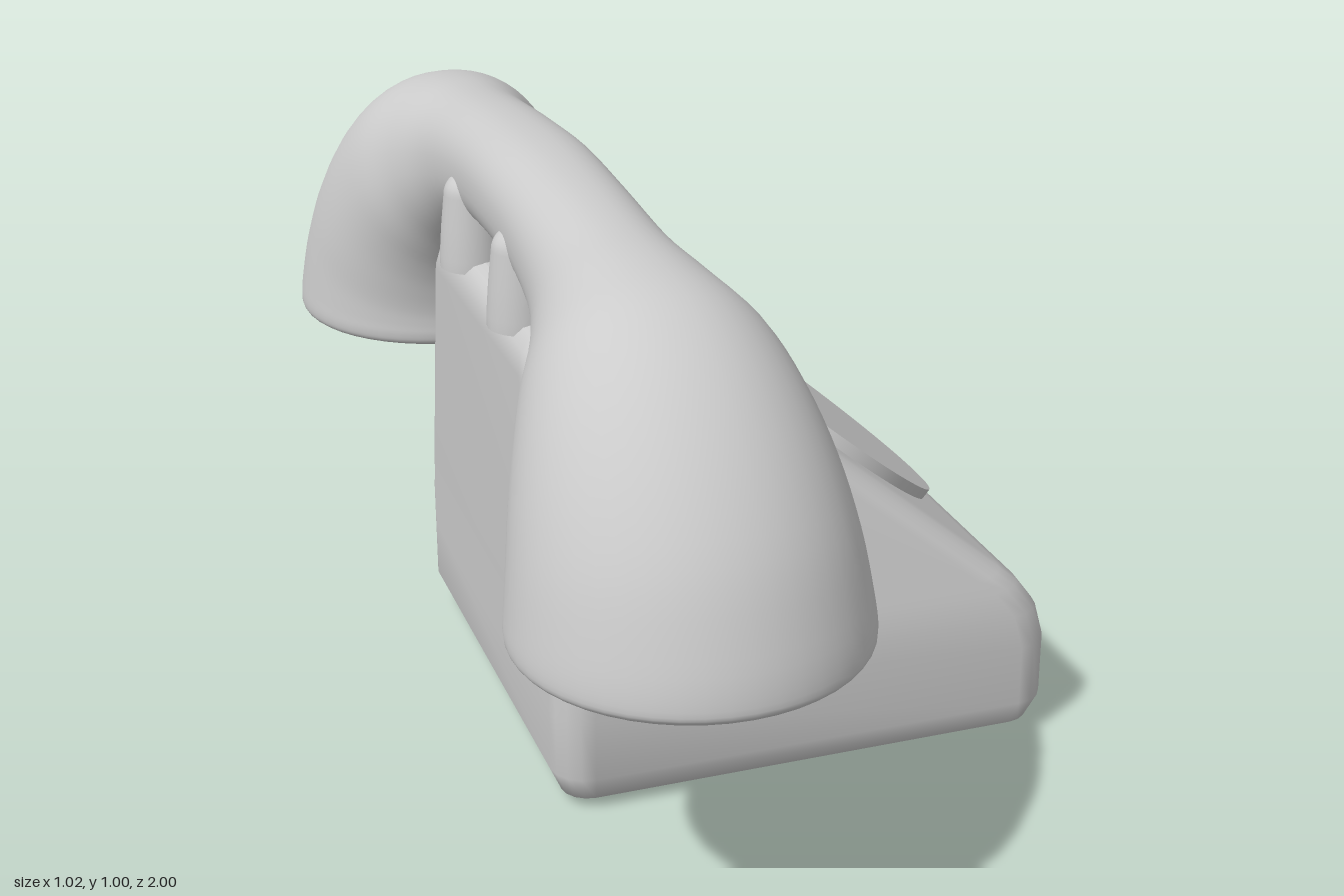
import * as THREE from 'three';

const material = new THREE.MeshStandardMaterial({ color: 0xcccccc, roughness: 0.6 });

// Skins a list of equal-length rings with smooth sides and flat, sharp-edged end caps.
function loft(rings) {
  const n = rings[0].length;
  const positions = [];
  const index = [];
  const add = (p) => positions.push(p.x, p.y, p.z) / 3 - 1;
  rings.forEach((ring) => ring.forEach(add));
  for (let i = 0; i < rings.length - 1; i++) {
    for (let j = 0; j < n; j++) {
      const k = (j + 1) % n;
      const a = i * n + j, b = i * n + k, c = (i + 1) * n + k, d = (i + 1) * n + j;
      index.push(a, b, d, b, c, d);
    }
  }
  const cap = (ring, flip) => {
    const middle = ring.reduce((s, p) => s.add(p), new THREE.Vector3()).divideScalar(n);
    const centre = add(middle);
    ring.forEach(add);
    for (let j = 0; j < n; j++) {
      const a = centre + 1 + j, b = centre + 1 + ((j + 1) % n);
      if (flip) index.push(centre, b, a);
      else index.push(centre, a, b);
    }
  };
  cap(rings[0], true);
  cap(rings[rings.length - 1], false);
  const geometry = new THREE.BufferGeometry();
  geometry.setAttribute('position', new THREE.Float32BufferAttribute(positions, 3));
  geometry.setIndex(index);
  geometry.computeVertexNormals();
  return geometry;
}

function part(name, geometry) {
  const mesh = new THREE.Mesh(geometry, material);
  mesh.name = name;
  return mesh;
}

// Horizontal rounded rectangle, counterclockwise from above.
function roundedRing([y, back, front, halfZ, r]) {
  const points = [];
  const steps = 4;
  const corners = [[front - r, -halfZ + r], [back + r, -halfZ + r], [back + r, halfZ - r], [front - r, halfZ - r]];
  corners.forEach(([x, z], q) => {
    for (let s = 0; s <= steps; s++) {
      const a = (q + s / steps) * Math.PI / 2;
      points.push(new THREE.Vector3(x + r * Math.cos(a), y, z - r * Math.sin(a)));
    }
  });
  return points;
}

// Wedge-shaped housing: height, back x, front x, half depth, corner radius.
function bodyGeometry() {
  const levels = [
    [0, -0.29, 0.44, 0.37, 0.02],
    [0.02, -0.335, 0.485, 0.41, 0.045],
    [0.065, -0.355, 0.505, 0.43, 0.06],
    [0.17, -0.355, 0.505, 0.43, 0.06],
    [0.23, -0.355, 0.488, 0.43, 0.06],
    [0.275, -0.355, 0.455, 0.422, 0.06],
    [0.3, -0.356, 0.425, 0.416, 0.06],
    [0.7, -0.36, -0.068, 0.323, 0.06],
    [0.737, -0.352, -0.113, 0.308, 0.055],
    [0.755, -0.335, -0.137, 0.285, 0.045],
    [0.76, -0.315, -0.155, 0.255, 0.03],
  ];
  return loft(levels.map(roundedRing));
}

// Handset: each station joins an outer point to an inner point (z, y), with a half width.
function handsetGeometry() {
  const half = [
    [0, 1.0, 0, 0.81, 0.105],
    [0.2, 0.992, 0.16, 0.797, 0.105],
    [0.4, 0.975, 0.29, 0.755, 0.115],
    [0.53, 0.966, 0.38, 0.70, 0.145],
    [0.65, 0.945, 0.43, 0.645, 0.185],
    [0.76, 0.885, 0.455, 0.60, 0.213],
    [0.86, 0.79, 0.468, 0.56, 0.235],
    [0.94, 0.675, 0.474, 0.53, 0.25],
    [0.985, 0.56, 0.475, 0.508, 0.26],
    [1.0, 0.495, 0.475, 0.49, 0.264],
    [0.995, 0.475, 0.48, 0.474, 0.258],
    [0.975, 0.465, 0.50, 0.465, 0.238],
  ];
  const mirrored = half.slice(1).reverse().map(([a, b, c, d, w]) => [-a, b, -c, d, w]);
  const stations = [...mirrored, ...half];
  const outer = new THREE.CatmullRomCurve3(
    stations.map((s) => new THREE.Vector3(s[4], s[1], s[0])), false, 'catmullrom', 0.5);
  const inner = new THREE.CatmullRomCurve3(
    stations.map((s) => new THREE.Vector3(0, s[3], s[2])), false, 'catmullrom', 0.5);
  const rows = (stations.length - 1) * 4;
  const sides = 48;
  const rings = [];
  for (let i = 0; i <= rows; i++) {
    const top = outer.getPoint(i / rows);
    const bottom = inner.getPoint(i / rows);
    const width = top.x;
    // Slightly squared along the grip, truly round at the two cups
    const power = 2 / (2.3 - 0.3 * Math.min(1, Math.abs(top.z)));
    const soft = (v) => Math.sign(v) * Math.pow(Math.abs(v), power);
    const ring = [];
    for (let j = 0; j < sides; j++) {
      const a = j / sides * Math.PI * 2;
      const t = 0.5 + 0.5 * soft(Math.sin(a));
      ring.push(new THREE.Vector3(
        -0.247 + width * soft(Math.cos(a)),
        bottom.y + (top.y - bottom.y) * t,
        bottom.z + (top.z - bottom.z) * t));
    }
    rings.push(ring);
  }
  return loft(rings);
}

// Round-topped cradle peg.
function pegGeometry() {
  const profile = [[0.057, 0], [0.057, 0.02], [0.053, 0.07], [0.047, 0.125]]
    .map(([r, y]) => new THREE.Vector2(r, y));
  for (let i = 1; i <= 8; i++) {
    const a = i / 8 * Math.PI / 2;
    profile.push(new THREE.Vector2(Math.max(0, 0.047 * Math.cos(a)), 0.125 + 0.04 * Math.sin(a)));
  }
  return new THREE.LatheGeometry(profile, 24);
}

export function createModel() {
  const phone = new THREE.Group();
  phone.name = 'telephone';
  phone.add(part('body', bodyGeometry()));
  phone.add(part('handset', handsetGeometry()));

  // Dial plate lying on the sloping face
  const dial = part('dial', new THREE.CylinderGeometry(0.271, 0.271, 0.05, 64));
  const normal = new THREE.Vector3(0.63, 0.777, 0).normalize();
  dial.quaternion.setFromUnitVectors(new THREE.Vector3(0, 1, 0), normal);
  dial.position.set(0.217, 0.494, 0.012).addScaledVector(normal, -0.025);
  phone.add(dial);

  // Four pegs that hold the handset
  const cradle = new THREE.Group();
  cradle.name = 'cradle';
  const peg = pegGeometry();
  for (const x of [-0.145, -0.32]) {
    for (const z of [-0.152, 0.152]) {
      const mesh = part('cradlePeg', peg);
      mesh.position.set(x, 0.74, z);
      cradle.add(mesh);
    }
  }
  phone.add(cradle);
  return phone;
}
